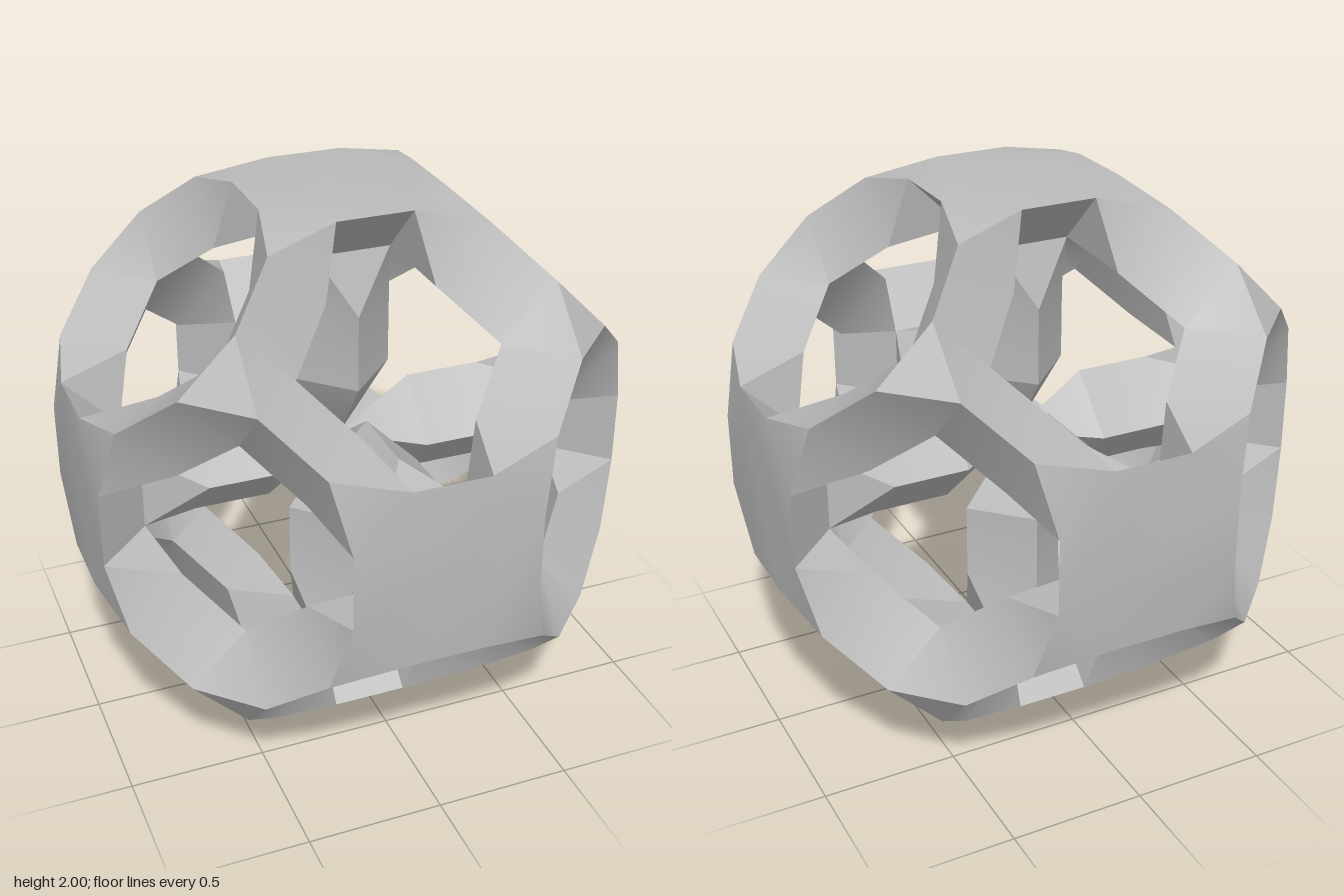
import * as THREE from 'three';
import { toCreasedNormals } from 'three/addons/utils/BufferGeometryUtils.js';

// All 48 signed axis permutations of the cube, each with its handedness
const symmetries = [];
for (const [order, parity] of [
  [[0, 1, 2], 1], [[1, 2, 0], 1], [[2, 0, 1], 1],
  [[0, 2, 1], -1], [[2, 1, 0], -1], [[1, 0, 2], -1],
]) {
  for (const sx of [1, -1]) for (const sy of [1, -1]) for (const sz of [1, -1]) {
    symmetries.push({
      map: (p) => [sx * p[order[0]], sy * p[order[1]], sz * p[order[2]]],
      flip: parity * sx * sy * sz < 0,
    });
  }
}

// Repeats a few seed faces over the whole cube symmetry, skipping duplicates
function symmetricGeometry(seeds) {
  const seen = new Set();
  const positions = [];
  for (const seed of seeds) {
    for (const { map, flip } of symmetries) {
      const face = seed.map(map);
      if (flip) face.reverse();
      const key = face.map((p) => p.map((v) => (v + 0).toFixed(2)).join()).sort().join('|');
      if (seen.has(key)) continue;
      seen.add(key);
      for (let i = 1; i < face.length - 1; i++) {
        positions.push(...face[0], ...face[i], ...face[i + 1]);
      }
    }
  }
  const geometry = new THREE.BufferGeometry();
  geometry.setAttribute('position', new THREE.Float32BufferAttribute(positions, 3));
  return toCreasedNormals(geometry, THREE.MathUtils.degToRad(23));
}

export function createModel() {
  const grey = new THREE.MeshStandardMaterial({ color: 0xbbbbbb });
  grey.name = 'grey';

  // Outer corners, named for the +y plate and the (+,+,+) corner
  const edge = [0.14, 1, 0.34];
  const edgeSide = [0.34, 1, 0.14];
  const plateTip = [0.4, 0.94, 0.4];
  const cornerX = [0.77, 0.57, 0.57];
  const cornerY = [0.57, 0.77, 0.57];
  const cornerZ = [0.57, 0.57, 0.77];

  // Inner corners of the shell
  const socket = [0.14, 0.8, 0.14];
  const armZ = [0.2, 0.74, 0.4];
  const armX = [0.4, 0.74, 0.2];
  const innerX = [0.37, 0.57, 0.57];
  const innerY = [0.57, 0.37, 0.57];
  const innerZ = [0.57, 0.57, 0.37];

  // Spoke sections
  const spokeZ = [0, 0.57, 0.2];
  const spokeX = [0.2, 0.57, 0];
  const taperZ = [0, 0.28, 0.2];
  const taperX = [0.2, 0.28, 0];
  const mirror = ([x, y, z]) => [-x, y, z];

  const parts = {
    // Six slightly domed plates
    outerPlates: [
      [edge, edgeSide, [0.34, 1, -0.14], [0.14, 1, -0.34],
        [-0.14, 1, -0.34], [-0.34, 1, -0.14], [-0.34, 1, 0.14], mirror(edge)],
      [edge, plateTip, edgeSide],
    ],
    // Eight flat triangles where three arms meet
    cornerCaps: [[cornerX, cornerY, cornerZ]],
    // Sides of the twelve openings
    openingWalls: [
      [mirror(edge), mirror(socket), socket, edge],
      [edge, socket, armZ],
      [edge, armZ, plateTip],
      [plateTip, armZ, innerX, cornerY],
      [cornerY, innerX, cornerZ],
    ],
    // Inside of the arms, corners and plates
    innerShell: [
      [innerZ, innerY, innerX],
      [armZ, armX, innerZ, innerX],
      [socket, armX, armZ],
    ],
    // Six spokes, twisted at the root and pointed at the centre
    spokes: [
      [socket, mirror(socket), spokeZ],
      [socket, spokeZ, spokeX],
      [spokeZ, taperZ, taperX, spokeX],
      [taperZ, [0, 0, 0], taperX],
    ],
  };

  const model = new THREE.Group();
  model.name = 'openCubeFrame';
  for (const [name, seeds] of Object.entries(parts)) {
    const mesh = new THREE.Mesh(symmetricGeometry(seeds), grey);
    mesh.name = name;
    mesh.position.y = 1;
    model.add(mesh);
  }
  return model;
}
